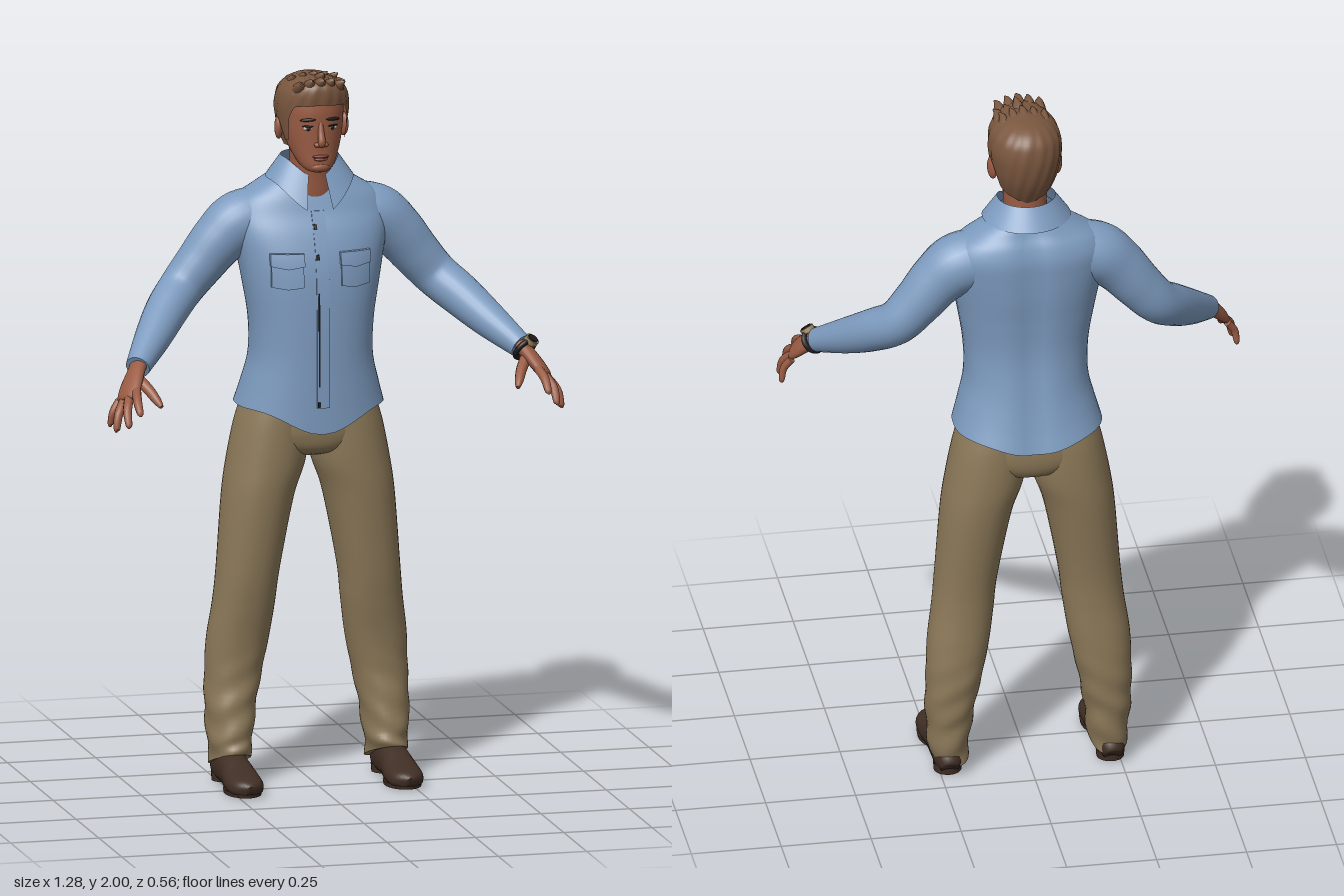
import * as THREE from 'three';
import { toCreasedNormals } from 'three/addons/utils/BufferGeometryUtils.js';

const V = (x, y, z) => new THREE.Vector3(x, y, z);
const mat = (name, color, side = THREE.FrontSide) => {
  const m = new THREE.MeshStandardMaterial({ color, side });
  m.name = name;
  return m;
};

// Grid surface: fn(i, j) returns a point; i runs along the part, j around it
function surface(rows, cols, fn) {
  const pos = [], idx = [];
  for (let i = 0; i <= rows; i++)
    for (let j = 0; j <= cols; j++) pos.push(...fn(i, j).toArray());
  for (let i = 0; i < rows; i++)
    for (let j = 0; j < cols; j++) {
      const a = i * (cols + 1) + j, b = a + 1, c = a + cols + 1, d = c + 1;
      idx.push(a, c, b, b, c, d);
    }
  const g = new THREE.BufferGeometry();
  g.setAttribute('position', new THREE.Float32BufferAttribute(pos, 3));
  g.setIndex(idx);
  // Normals are merged on a 0.01 grid, so work at a larger scale for fine parts
  g.scale(100, 100, 100);
  return toCreasedNormals(g, 0.9).scale(0.01, 0.01, 0.01);
}

// Smooth interpolation through rows of numbers, t from 0 to rows-1
function spline(rows, t) {
  const n = rows.length - 1, k = Math.min(Math.floor(t), n - 1), f = t - k;
  const p = (q) => rows[Math.max(0, Math.min(n, q))];
  return rows[k].map((_, m) => {
    const a = p(k - 1)[m], b = p(k)[m], c = p(k + 1)[m], d = p(k + 2)[m];
    return b + 0.5 * f * (c - a + f * (2 * a - 5 * b + 4 * c - d + f * (3 * (b - c) + d - a)));
  });
}

// Section of an upright form at height y
function atHeight(secs, y) {
  let k = 0;
  while (k < secs.length - 2 && y > secs[k + 1][0]) k++;
  const f = (y - secs[k][0]) / (secs[k + 1][0] - secs[k][0]);
  return spline(secs, k + Math.max(0, Math.min(1, f)));
}

const sp = (c, e) => Math.sign(c) * Math.abs(c) ** (2 / e);

// Upright form from sections [y, halfWidth, back z, front z, centre x]
function upright(secs, { e = 2.2, rows = 40, cols = 40, warp = (v) => v, caps = true } = {}) {
  const off = caps ? 1 : 0;
  return surface(rows + 2 * off, cols, (i, j) => {
    const k = Math.max(0, Math.min(rows, i - off)), end = caps && (i === 0 || i === rows + 2);
    const [y, rx, zb, zf, cx = 0] = spline(secs, (k / rows) * (secs.length - 1));
    const a = (j / cols) * Math.PI * 2, r = end ? 0 : 1;
    return warp(V(cx + r * rx * sp(Math.cos(a), e), y, (zb + zf) / 2 + r * (zf - zb) / 2 * sp(Math.sin(a), e)));
  });
}

// Form swept along points [x, y, z, radius along ref, other radius]
function limb(pts, ref = V(0, 0, 1), { rows = 20, cols = 16, warp = (v) => v, e = 2 } = {}) {
  const at = (t) => spline(pts, Math.max(0, Math.min(1, t)) * (pts.length - 1));
  return surface(rows + 2, cols, (i, j) => {
    const t = Math.max(0, Math.min(rows, i - 1)) / rows, r = i === 0 || i === rows + 2 ? 0 : 1;
    const [x, y, z, ru, rv = ru] = at(t);
    const [p, q] = [at(t - 0.02), at(t + 0.02)];
    const dir = V(q[0] - p[0], q[1] - p[1], q[2] - p[2]).normalize();
    const u = ref.clone().addScaledVector(dir, -ref.dot(dir)).normalize();
    const v = u.clone().cross(dir), a = (j / cols) * Math.PI * 2;
    return warp(V(x, y, z).addScaledVector(u, r * ru * sp(Math.cos(a), e)).addScaledVector(v, r * rv * sp(Math.sin(a), e)));
  });
}

const TORSO = [[1.06, .205, -.275, .055], [1.12, .188, -.255, .055], [1.2, .17, -.235, .055], [1.3, .172, -.222, .055],
  [1.4, .188, -.225, .052], [1.48, .203, -.232, .042], [1.55, .218, -.235, .02], [1.6, .218, -.235, -.005],
  [1.64, .195, -.225, -.02], [1.67, .15, -.21, -.032], [1.695, .11, -.2, -.042], [1.72, .08, -.185, -.045]];
// Point on the shirt front, raised by lift
function onShirt(x, y, lift) {
  const [, rx, zb, zf] = atHeight(TORSO, y);
  const s = (1 - Math.min(1, Math.abs(x) / rx) ** 2.4) ** (1 / 2.4);
  return V(x, y, (zb + zf) / 2 + s * (zf - zb) / 2 + lift);
}
// Raised cloth panel on the shirt front
const panel = (cx, cy, w, h, lift, dip = 0) => surface(8, 8, (i, j) => {
  const edge = i % 8 === 0 || j % 8 === 0, q = (n) => Math.max(-.5, Math.min(.5, (4 - n) / 6));
  const x = cx + w * q(j), y = cy - h * q(i) - (i < 4 ? dip * (1 - 2 * Math.abs(q(j))) : 0);
  return onShirt(x, y, edge ? -.004 : lift);
});

const HAIR = [[1.74, .06, -.14, .01], [1.78, .076, -.162, .03], [1.82, .089, -.18, .036], [1.86, .096, -.19, .038],
  [1.9, .1, -.193, .041], [1.94, .093, -.186, .046], [1.965, .074, -.165, .042], [1.98, .045, -.13, .02], [1.987, .005, -.07, -.06]];
// Hairline height by angle from the front
const HAIRLINE = [[0, 1.915], [.75, 1.91], [.98, 1.87], [1.1, 1.81], [1.35, 1.805], [1.45, 1.865], [1.8, 1.865], [2.05, 1.78], [3.15, 1.745]];
function hairline(phi) {
  const k = Math.max(1, HAIRLINE.findIndex((h) => h[0] >= phi));
  const [a, b] = [HAIRLINE[k - 1], HAIRLINE[k]];
  return a[1] + (b[1] - a[1]) * (phi - a[0]) / (b[0] - a[0]);
}

export function createModel() {
  const root = new THREE.Group();
  root.name = 'man';
  const shirt = mat('shirtBlue', 0x7d9bbf, THREE.DoubleSide), cloth = mat('trouserKhaki', 0x8b7858);
  const skin = mat('skin', 0x995b43), hair = mat('hairBrown', 0x7a573f, THREE.DoubleSide);
  const leather = mat('shoeLeather', 0x412f25), dark = mat('dark', 0x1e1a19);
  const white = mat('eyeWhite', 0xc9c2ba), lip = mat('lips', 0x84453a), brass = mat('watchMetal', 0x9a8660);
  const add = (name, geo, m) => {
    const o = new THREE.Mesh(geo, m);
    o.name = name;
    root.add(o);
    return o;
  };
  const blob = (name, m, p, s, ry = 0, rz = 0) => {
    const o = add(name, new THREE.SphereGeometry(1, 16, 12), m);
    o.position.set(...p);
    o.scale.set(...s);
    o.rotation.set(0, ry, rz);
  };

  // Shirt body with curved tails
  add('shirtBody', upright(TORSO, { e: 2.4, rows: 48, cols: 56, caps: false, warp: (v) => {
    const f = Math.max(0, (1.2 - v.y) / .14), mid = .5 + .5 * Math.cos(Math.PI * Math.min(1, Math.abs(v.x) / .19));
    v.y -= f * mid * (v.z > -.1 ? .065 : .035);
    if (v.z < -.14) v.z += .012 * Math.exp(-((v.x / .035) ** 2));
    return v;
  } }), shirt);
  // Folded collar, open at the throat
  add('collar', surface(6, 48, (i, j) => {
    const a = .3 + (j / 48) * (2 * Math.PI - .6), f = Math.max(0, Math.cos(a)) ** 3, t = i / 6;
    const r = .122 - .042 * t;
    return V(r * Math.sin(a), 1.692 + .06 * t - f * (.085 - .035 * t), -.1 + (r - .004) * Math.cos(a) + f * .012);
  }), shirt);
  add('placket', panel(0, 1.34, .036, .54, .004), shirt);
  add('frontSeam', panel(-.012, 1.26, .004, .26, .006), dark);
  for (const y of [1.08, 1.49, 1.57]) add('button', panel(-.012, y, .008, .014, .007), dark);

  // Trousers seat
  add('trouserSeat', upright([[.915, .05, -.18, -.06], [.935, .12, -.222, -.012], [.98, .196, -.238, .004],
    [1.05, .19, -.232, .004], [1.12, .16, -.2, .01]], { e: 2.4 }), cloth);

  for (const s of [1, -1]) {
    // Leg sections: y, inner x, outer x, back z, front z
    const leg = [[.06, .168, .274, -.2, -.03], [.1, .163, .278, -.204, -.03], [.2, .15, .285, -.215, -.042], [.3, .13, .284, -.22, -.054],
      [.4, .11, .28, -.216, -.048], [.5, .096, .266, -.21, -.032], [.6, .084, .256, -.212, -.018], [.8, .045, .24, -.233, 0],
      [.9, .012, .226, -.239, .004], [1, .002, .206, -.236, .003], [1.06, 0, .188, -.228, 0]];
    add('trouserLeg', upright(leg.map(([y, a, b, zb, zf]) => [y, (b - a) / 2, zb, zf, s * (a + b) / 2]), { rows: 60, warp: (v) => {
      const k = Math.max(0, .4 - v.y);
      v.z += .014 * k * Math.sin(v.y * 75 + v.x * s * 40);
      v.x += .01 * k * Math.sin(v.y * 60 + v.z * 30);
      if (v.y < .14) v.y += (v.z + .12) * .35 * (1 - (v.y - .06) / .08);
      return v;
    } }), cloth);

    // Shoe, sole and heel
    add('shoe', limb([[-.188, .026, .05], [-.165, .038, .085], [-.1, .042, .1], [-.03, .044, .088], [.03, .05, .066],
      [.08, .05, .054], [.112, .038, .046], [.13, .012, .034]].map(([z, w, h]) => [s * .226, h / 2, z, w, h / 2 + .004]), V(1, 0, 0),
    { rows: 30, cols: 24, e: 2.3, warp: (v) => { v.y = Math.max(v.y, .012); return v; } }), leather);
    const heel = add('heel', new THREE.CylinderGeometry(.04, .038, .024, 24), leather);
    heel.position.set(s * .226, .012, -.142);
    const sole = add('sole', new THREE.CylinderGeometry(.052, .05, .012, 28), leather);
    sole.position.set(s * .226, .008, .045);
    sole.scale.z = 1.5;

    // Sleeve
    add('sleeve', limb([[.1, 1.585, -.125, .08], [.19, 1.567, -.122, .085], [.25, 1.52, -.12, .076], [.305, 1.455, -.12, .068],
      [.36, 1.392, -.11, .062], [.415, 1.343, -.055, .059], [.475, 1.287, .025, .05], [.542, 1.228, .12, .034]]
      .map(([x, ...r]) => [s * x, ...r]), V(0, 0, 1), { rows: 44, cols: 24 }), shirt);

    // Hand with fingers
    const hand = (name, pts, ref = V(0, 0, 1), o = { rows: 12, cols: 12 }) =>
      add(name, limb(pts.map(([x, ...r]) => [s * x, ...r]), ref, o), skin);
    hand('palm', [[.53, 1.24, .1, .027, .022], [.55, 1.22, .135, .029, .02], [.572, 1.19, .168, .038, .019],
      [.588, 1.165, .195, .039, .016], [.594, 1.155, .204, .03, .009]], V(s * .04, -.03, -.055).normalize(), { rows: 16, cols: 20 });
    const fingers = [[[.568, 1.182, .208], [.576, 1.162, .25], [.577, 1.135, .284]], [[.586, 1.165, .2], [.602, 1.136, .241], [.605, 1.1, .268]],
      [[.598, 1.152, .186], [.62, 1.12, .214], [.628, 1.082, .226]], [[.606, 1.148, .165], [.626, 1.118, .174], [.632, 1.085, .17]]];
    fingers.forEach(([a, b, c], k) => {
      const r = k === 3 ? .0105 : .0125;
      hand('finger', [[...a, r], [...b, r], [...c, r * .75], [c[0], c[1] - .006, c[2] + .003, r * .3]]);
    });
    hand('thumb', [[.552, 1.205, .145, .017], [.528, 1.178, .182, .015], [.512, 1.152, .216, .012], [.504, 1.138, .234, .006]]);

    // Chest pocket with flap
    add('pocket', panel(s * .096, 1.452, .085, .085, .008, .006), shirt);
    add('pocketFlap', panel(s * .096, 1.485, .09, .034, .014, .008), shirt);

    // Ear, eye and brow
    blob('ear', skin, [s * .091, 1.835, -.082], [.012, .034, .022], s * .3);
    blob('eyeWhite', white, [s * .034, 1.848, .0195], [.014, .006, .005], s * .3);
    blob('iris', dark, [s * .034, 1.848, .0225], [.006, .006, .004], s * .3);
    blob('lashLine', dark, [s * .034, 1.854, .0215], [.017, .0025, .005], s * .3);
    blob('brow', dark, [s * .035, 1.872, .0225], [.022, .0045, .006], s * .3, s * -.06);
    blob('nostril', skin, [s * .011, 1.803, .032], [.009, .007, .01]);
  }

  // Neck, head and face
  add('neck', upright([[1.58, .075, -.17, -.03], [1.65, .068, -.158, -.022], [1.7, .06, -.146, -.018], [1.76, .06, -.142, -.012], [1.82, .06, -.14, -.02]]), skin);
  add('head', upright([[1.722, .018, -.025, .015], [1.728, .034, -.045, .025], [1.745, .05, -.08, .029], [1.78, .067, -.13, .028],
    [1.82, .078, -.16, .029], [1.86, .083, -.172, .03], [1.9, .084, -.175, .03], [1.94, .076, -.165, .02], [1.97, .04, -.12, -.02]]), skin);
  add('nose', limb([[0, 1.862, .024, .007], [0, 1.835, .031, .009], [0, 1.811, .038, .011], [0, 1.8, .034, .008]], V(1, 0, 0)), skin);
  blob('upperLip', lip, [0, 1.769, .027], [.024, .0045, .007]);
  blob('lowerLip', lip, [0, 1.761, .027], [.019, .005, .007]);
  blob('mouthLine', dark, [0, 1.7655, .029], [.021, .0012, .0055]);
  blob('chin', skin, [0, 1.738, .018], [.026, .014, .014]);

  // Hair cap, then swept tufts on top
  add('hair', surface(24, 72, (i, j) => {
    const a = (j / 72) * Math.PI * 2, c = Math.cos(a), d = Math.sin(a), phi = Math.abs(Math.atan2(c, d));
    const y0 = hairline(phi), y = y0 + (1.987 - y0) * Math.sin(i / 24 * Math.PI / 2);
    const [, rx, zb, zf] = atHeight(HAIR, y), w = 1 + .012 * Math.sin(a * 17 + y * 40);
    return V(w * rx * sp(c, 2.2), y, (zb + zf) / 2 + w * (zf - zb) / 2 * sp(d, 2.2));
  }), hair);
  for (let r = 0; r < 3; r++)
    for (let k = -2; k <= 2; k++) {
      const x = k * .026 + (r % 2) * .008, z = .018 - r * .04 - Math.abs(k) * .007, h = .006 * ((k * k + r * 2) % 3);
      const y = 1.95 - Math.abs(k) * .007;
      add('hairTuft', limb([[x, y - .01, z - .03, .024], [x * 1.05, y + .018, z - .005, .019],
        [x * 1.1, y + .03 + h * .6, z + .018, .012], [x * 1.2 + .004, y + .036 + h, z + .03, .002]], V(1, 0, 0), { rows: 8, cols: 8 }), hair);
    }

  // Wristwatch on the left wrist
  const along = V(.436, -.595, .674).normalize(), out = V(.45, .78, .4).normalize(), wrist = V(.55, 1.222, .132);
  const band = add('watchBand', new THREE.TorusGeometry(.032, .0075, 10, 28), dark);
  band.position.copy(wrist);
  band.quaternion.setFromUnitVectors(V(0, 0, 1), along);
  [['watchCase', .02, .014, .033, brass], ['watchDial', .015, .004, .041, dark]].forEach(([name, r, h, lift, m]) => {
    const o = add(name, new THREE.CylinderGeometry(r, r, h, 24), m);
    o.position.copy(wrist).addScaledVector(out, lift);
    o.quaternion.setFromUnitVectors(V(0, 1, 0), out);
  });
  return root;
}
